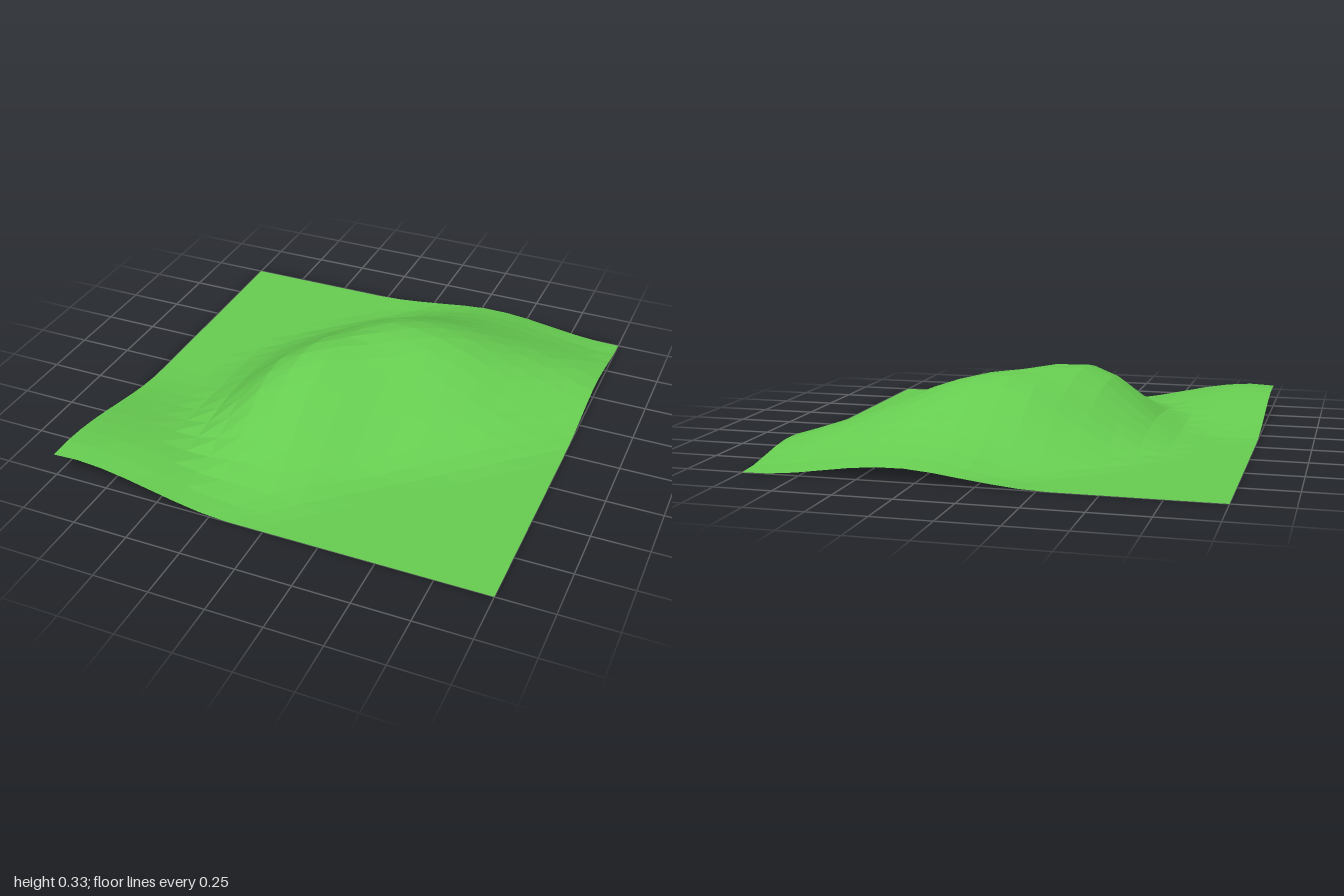
import * as THREE from 'three';

// Smooth falloff: 1 at the centre, 0 at distance 1 and beyond
const falloff = (d) => {
  const t = Math.max(0, 1 - d);
  return t * t * (3 - 2 * t);
};

// Round or oval mound: centre, radii, height
const mounds = [
  { x: -0.9, z: 0.92, rx: 0.75, rz: 0.85, h: 0.115 }, // corner rise
  { x: 0.3, z: -1.05, rx: 0.6, rz: 0.5, h: 0.05 },    // back foothill
  { x: 0.95, z: -0.55, rx: 0.45, rz: 0.45, h: 0.025 } // side foothill
];
const spur = { x: -0.17, z: 0.35, rx: 0.47, rz: 0.6, h: 0.14 };

const weight = (m, x, z) => falloff(Math.hypot((x - m.x) / m.rx, (z - m.z) / m.rz));

// Main hill: a slanted oval dome, steeper on its -x side
function mainHill(x, z) {
  let dx = x - 0.075;
  if (dx < 0) dx *= 1.3;
  const dz = z + 0.19;
  return 0.33 * falloff(Math.sqrt(0.96 * dx * dx + 1.446 * dz * dz + 1.016 * dx * dz));
}

export function createModel() {
  const group = new THREE.Group();
  group.name = 'terrain';

  // Open grid sheet raised by the mounds
  const geometry = new THREE.PlaneGeometry(2, 2, 17, 19).rotateX(-Math.PI / 2);
  const pos = geometry.attributes.position;
  for (let i = 0; i < pos.count; i++) {
    const x = pos.getX(i), z = pos.getZ(i);
    const w = weight(spur, x, z);
    let y = mainHill(x, z) + spur.h * w;
    for (const m of mounds) y += m.h * weight(m, x, z);
    // The spur also drags its vertices slightly sideways
    pos.setXYZ(i, x - 0.045 * w, y, z - 0.02 * w);
  }
  geometry.computeVertexNormals();

  const grass = new THREE.MeshStandardMaterial({
    color: 0x66cc50, flatShading: true, side: THREE.DoubleSide
  });
  const ground = new THREE.Mesh(geometry, grass);
  ground.name = 'hillyGround';
  group.add(ground);
  return group;
}
